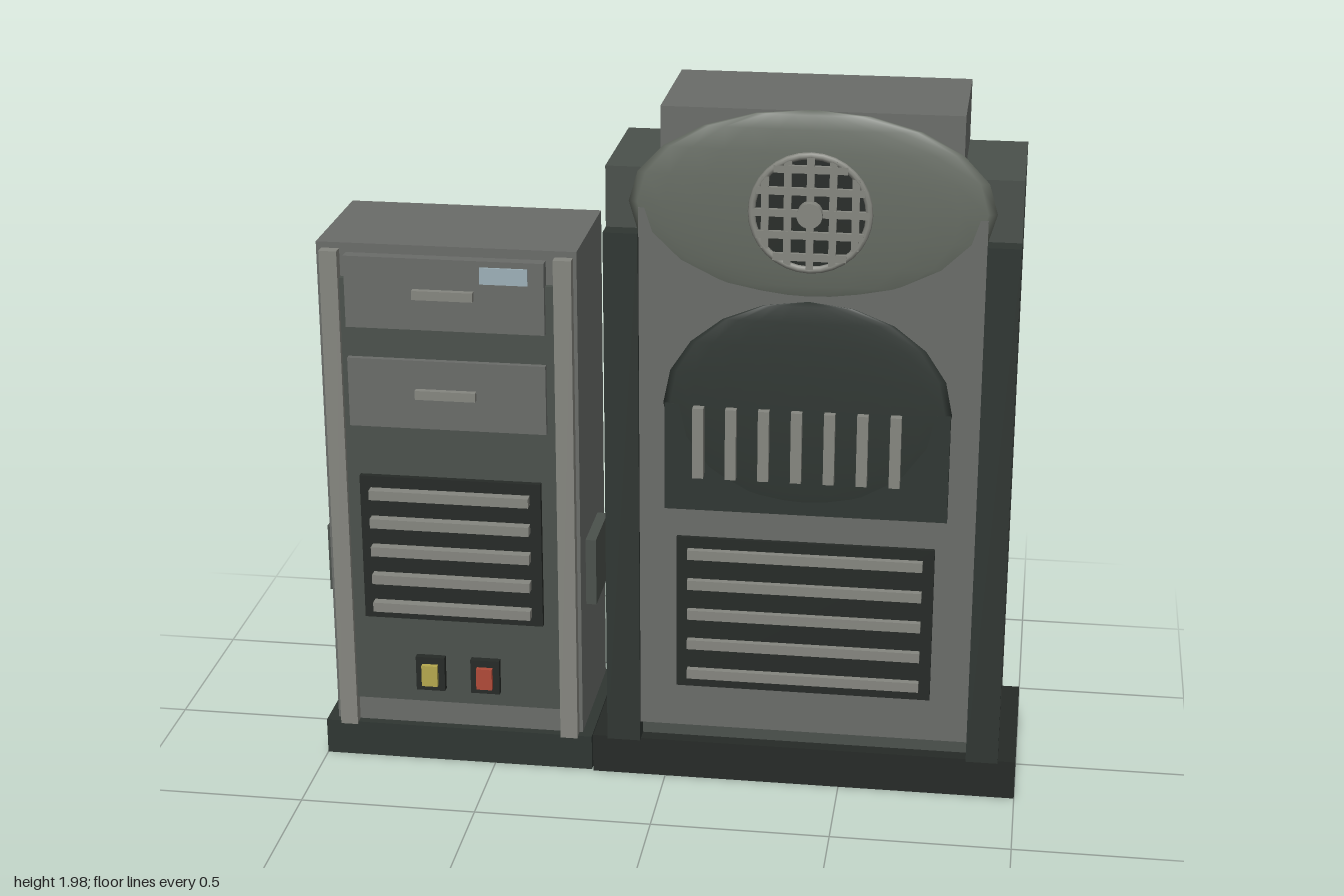
import * as THREE from 'three';

const mat = (color) => new THREE.MeshStandardMaterial({ color });
const M = {
  panel: mat(0x6a6c69), body: mat(0x4b514c), dark: mat(0x2f3632), black: mat(0x262a27),
  trim: mat(0x85867f), dome: mat(0x656b62), yellow: mat(0xb5a84e), red: mat(0xb04a38), label: mat(0x9db0b8),
};

function add(parent, name, geometry, material, x = 0, y = 0, z = 0) {
  const mesh = new THREE.Mesh(geometry, material);
  mesh.name = name;
  mesh.position.set(x, y, z);
  parent.add(mesh);
  return mesh;
}

// Box given by its limits on each axis
function block(parent, name, material, [x0, x1], [y0, y1], [z0, z1]) {
  return add(parent, name, new THREE.BoxGeometry(x1 - x0, y1 - y0, z1 - z0), material,
    (x0 + x1) / 2, (y0 + y1) / 2, (z0 + z1) / 2);
}

// Flattened ellipsoid
function lens(parent, name, material, x, y, z, rx, ry, rz) {
  const mesh = add(parent, name, new THREE.SphereGeometry(1, 20, 10), material, x, y, z);
  mesh.scale.set(rx, ry, rz);
  return mesh;
}

// Dark backing with five horizontal slats
function grille(parent, xs, ys, z0, z1, inset, first, pitch) {
  const g = new THREE.Group();
  g.name = 'ventGrille';
  parent.add(g);
  block(g, 'grilleBacking', M.black, xs, ys, [z0 - 0.03, z0]);
  for (let i = 0; i < 5; i++) {
    const y = first + i * pitch;
    block(g, 'grilleSlat', M.trim, [xs[0] + inset, xs[1] - inset], [y - 0.014, y + 0.014], [z0 - 0.005, z1]);
  }
}

// Round speaker with a crossed bar guard
function speaker(parent, x, y, z) {
  const g = new THREE.Group();
  g.name = 'speaker';
  g.position.set(x, y, z);
  parent.add(g);
  const disc = (name, r, depth, m, dz) => {
    add(g, name, new THREE.CylinderGeometry(r, r, depth, 24).rotateX(Math.PI / 2), m, 0, 0, dz);
  };
  disc('speakerDisc', 0.155, 0.03, M.black, -0.014);
  add(g, 'speakerRing', new THREE.TorusGeometry(0.156, 0.01, 8, 32), M.trim, 0, 0, 0.003);
  for (let i = -2; i <= 2; i++) {
    const o = i * 0.06, len = 2 * Math.sqrt(0.155 ** 2 - o * o);
    add(g, 'guardBar', new THREE.BoxGeometry(0.02, len, 0.014), M.trim, o, 0, 0.005);
    add(g, 'guardBar', new THREE.BoxGeometry(len, 0.02, 0.014), M.trim, 0, o, 0.006);
  }
  disc('speakerHub', 0.034, 0.03, M.trim, 0.017);
}

function largeCabinet() {
  const g = new THREE.Group();
  g.name = 'largeCabinet';
  const cx = 0.393;
  block(g, 'plinth', M.black, [-0.21, 1], [0, 0.115], [-0.275, 0.21]);
  block(g, 'cabinetBody', M.body, [-0.165, 0.95], [0.115, 1.8], [-0.235, 0.17]);
  block(g, 'topHood', M.panel, [-0.015, 0.79], [1.79, 1.97], [-0.24, 0.176]);
  block(g, 'frontPanel', M.panel, [-0.07, 0.86], [0.17, 1.7], [0.16, 0.213]);
  block(g, 'pilaster', M.dark, [-0.165, -0.07], [0.115, 1.63], [0.165, 0.225]);
  block(g, 'pilaster', M.dark, [0.86, 0.95], [0.115, 1.63], [0.165, 0.225]);
  lens(g, 'dome', M.dome, cx, 1.715, 0.202, 0.49, 0.265, 0.03);
  speaker(g, cx, 1.71, 0.237);

  // Arched window with upright bars
  block(g, 'windowBase', M.dark, [0.005, 0.782], [0.85, 1.16], [0.205, 0.246]);
  lens(g, 'windowArch', M.dark, cx, 1.16, 0.24, 0.392, 0.305, 0.014);
  for (let i = 0; i < 7; i++) {
    const x = 0.1 + i * 0.0895;
    block(g, 'windowBar', M.trim, [x - 0.015, x + 0.015], [0.955, 1.158], [0.235, 0.275]);
  }
  grille(g, [0.035, 0.752], [0.3, 0.757], 0.225, 0.244, 0.032, 0.345, 0.0915);
  return g;
}

function smallCabinet() {
  const g = new THREE.Group();
  g.name = 'smallCabinet';
  block(g, 'plinth', M.dark, [-1, -0.215], [0, 0.105], [-0.242, 0.203]);
  block(g, 'cabinetBody', M.panel, [-0.97, -0.245], [0.1, 1.557], [-0.228, 0.178]);
  block(g, 'frontPanel', M.body, [-0.905, -0.305], [0.183, 1.46], [0.17, 0.195]);
  for (const x of [-0.955, -0.305]) {
    block(g, 'edgeStrip', M.trim, [x, x + 0.05], [0.1, 1.54], [0.17, 0.21]);
  }
  for (const x of [-1, -0.25]) {
    block(g, 'sideBox', M.body, [x, x + 0.035], [0.475, 0.675], [-0.11, 0.095]);
  }

  // Drawers with handles
  for (const [y0, y1, hy] of [[1.325, 1.53, 1.43], [1.035, 1.235, 1.14]]) {
    block(g, 'drawer', M.panel, [-0.887, -0.33], [y0, y1], [0.17, 0.212]);
    block(g, 'drawerHandle', M.trim, [-0.695, -0.525], [hy - 0.013, hy + 0.013], [0.205, 0.23]);
  }
  block(g, 'drawerLabel', M.label, [-0.507, -0.374], [1.466, 1.513], [0.205, 0.218]);
  grille(g, [-0.867, -0.35], [0.45, 0.885], 0.212, 0.24, 0.031, 0.493, 0.086);

  // Push buttons
  for (const [x, m] of [[-0.682, M.yellow], [-0.522, M.red]]) {
    block(g, 'buttonFrame', M.black, [x - 0.042, x + 0.042], [0.228, 0.332], [0.185, 0.215]);
    block(g, 'button', m, [x - 0.023, x + 0.023], [0.247, 0.311], [0.205, 0.23]);
  }
  return g;
}

export function createModel() {
  const model = new THREE.Group();
  model.name = 'twinCabinets';
  model.add(largeCabinet(), smallCabinet());
  return model;
}
